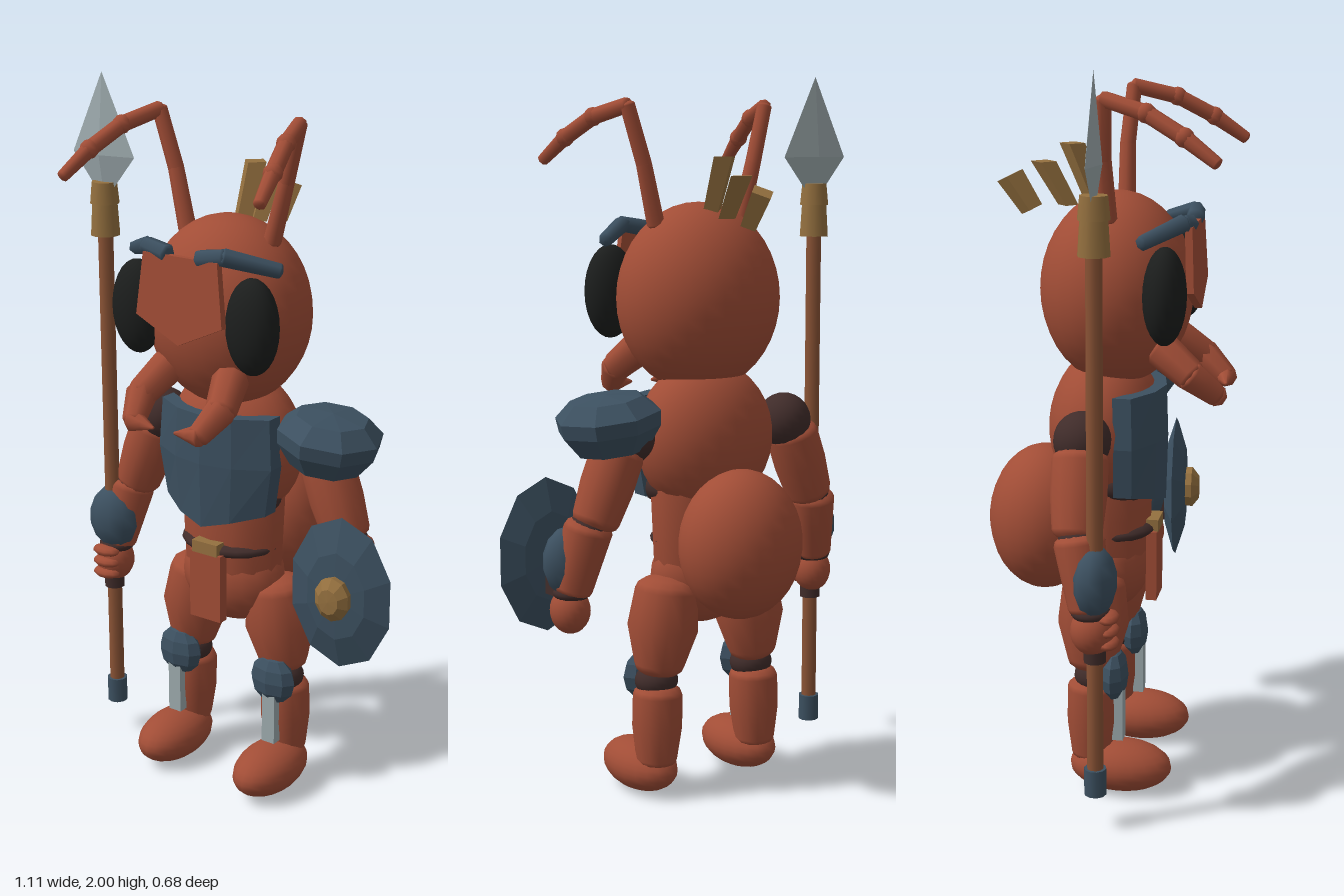
import * as THREE from 'three';

const mat = (name, color) => Object.assign(new THREE.MeshStandardMaterial({ color }), { name });
const V = (x, y, z) => new THREE.Vector3(x, y, z);

export function createModel() {
  const root = new THREE.Group();
  root.name = 'antWarrior';
  const shell = mat('shell', 0xa14d36), joint = mat('joint', 0x402c2a), eyeBlack = mat('eye', 0x1c1e1d);
  const armour = mat('armour', 0x3c5060), gold = mat('gold', 0x94703f), wood = mat('wood', 0x8a5335);
  const steel = mat('steel', 0x9daaad);
  const flat = (g) => {
    const n = g.toNonIndexed();
    n.computeVertexNormals();
    return n;
  };

  const add = (parent, name, geo, material, x = 0, y = 0, z = 0) => {
    const m = new THREE.Mesh(geo, material);
    m.name = name;
    m.position.set(x, y, z);
    parent.add(m);
    return m;
  };
  const ball = (parent, name, material, x, y, z, rx, ry, rz, seg = 20) => {
    const g = new THREE.SphereGeometry(1, seg, Math.ceil(seg * 0.7));
    g.scale(rx, ry, rz);
    return add(parent, name, g, material, x, y, z);
  };
  // Rounded tapering limb from a to b, slightly swollen in the middle
  const limb = (parent, name, material, a, b, r0, r1, seg = 14, bulge = 1.0) => {
    const len = a.distanceTo(b), p = [];
    for (let i = 0; i <= 4; i++) {
      const t = (i / 4) * Math.PI / 2;
      p.push(new THREE.Vector2(r0 * Math.sin(t), -r0 * 0.5 * Math.cos(t)));
    }
    p.push(new THREE.Vector2((r0 + r1) / 2 * bulge, len / 2));
    for (let i = 0; i <= 4; i++) {
      const t = (i / 4) * Math.PI / 2;
      p.push(new THREE.Vector2(r1 * Math.cos(t), len + r1 * 0.5 * Math.sin(t)));
    }
    const m = add(parent, name, new THREE.LatheGeometry(p, seg), material, a.x, a.y, a.z);
    m.quaternion.setFromUnitVectors(V(0, 1, 0), b.clone().sub(a).normalize());
    return m;
  };
  const chain = (parent, name, material, pts, radii, seg) => {
    for (let i = 0; i < pts.length - 1; i++)
      limb(parent, name, material, pts[i], pts[i + 1], radii[i], radii[i + 1], seg);
  };

  const body = new THREE.Group();
  body.name = 'body';
  body.position.x = -0.035;
  root.add(body);

  // Trunk
  ball(body, 'head', shell, 0, 1.395, 0.02, 0.235, 0.262, 0.208, 28);
  limb(body, 'neck', joint, V(0, 1.05, 0), V(0, 1.2, 0), 0.1, 0.1);
  ball(body, 'thorax', shell, 0, 1.01, -0.01, 0.205, 0.215, 0.157, 24);
  ball(body, 'lowerChestBand', joint, 0, 0.87, 0.03, 0.165, 0.07, 0.12);
  limb(body, 'waist', shell, V(0, 0.66, 0), V(0, 0.88, 0), 0.15, 0.16).scale.z = 0.75;
  ball(body, 'belt', joint, 0, 0.725, 0.01, 0.15, 0.035, 0.125);
  ball(body, 'pelvis', shell, 0, 0.62, 0, 0.16, 0.14, 0.115);
  ball(body, 'abdomen', shell, 0, 0.735, -0.185, 0.177, 0.207, 0.157, 24);
  add(body, 'loincloth', new THREE.BoxGeometry(0.105, 0.2, 0.03), shell, 0, 0.62, 0.125);
  add(body, 'buckle', new THREE.BoxGeometry(0.085, 0.035, 0.035), gold, 0, 0.735, 0.125);

  // Chest plate: a box bent round the chest with a pointed lower edge
  const plate = new THREE.BoxGeometry(0.38, 0.28, 0.05, 4, 2, 1);
  const pp = plate.attributes.position;
  for (let i = 0; i < pp.count; i++) {
    const x = pp.getX(i), y = pp.getY(i), low = y < -0.1;
    pp.setX(i, x * (low ? 0.88 : y > 0.1 ? 0.95 : 1));
    pp.setY(i, low ? y - 0.045 * (1 - Math.abs(x) / 0.19) : y);
    pp.setZ(i, pp.getZ(i) - 1.9 * x * x + (Math.abs(y) < 0.1 ? 0 : -0.005));
  }
  add(body, 'chestPlate', flat(plate), armour, 0, 0.99, 0.137);

  // Face plate
  const face = new THREE.Shape([[-0.12, 1.58], [-0.14, 1.41], [0, 1.345], [0.14, 1.41], [0.12, 1.58]]
    .map(([x, y]) => new THREE.Vector2(x, y - 1.46)));
  add(body, 'facePlate', new THREE.ExtrudeGeometry(face, { depth: 0.02, bevelEnabled: false }),
    shell, 0, 1.46, 0.225).rotation.x = -0.05;

  // Crest of three leaning diamond-section spikes
  for (const [y0, y1, z0, z1] of [[1.61, 1.78, -0.035, -0.103], [1.615, 1.73, -0.115, -0.182], [1.6, 1.69, -0.215, -0.275]]) {
    const g = new THREE.CylinderGeometry(0.035, 0.028, y1 - y0, 4, 1);
    const p = g.attributes.position;
    for (let i = 0; i < p.count; i++) {
      const t = p.getY(i) / (y1 - y0);
      p.setY(i, p.getY(i) - p.getZ(i) * (z0 < -0.2 ? -0.5 : 0));
      p.setZ(i, p.getZ(i) + t * (z1 - z0));
    }
    add(body, 'crestSpike', flat(g), gold, 0, (y0 + y1) / 2, (z0 + z1) / 2);
  }

  for (const s of [-1, 1]) {
    const P = (x, y, z) => V(s * x, y, z);
    // Head details
    ball(body, 'eye', eyeBlack, s * 0.188, 1.41, 0.178, 0.077, 0.13, 0.058);
    chain(body, 'brow', armour, [P(0.055, 1.58, 0.222), P(0.125, 1.592, 0.215), P(0.235, 1.555, 0.125)],
      [0.026, 0.024, 0.02], 6);
    chain(body, 'antenna', shell, [P(0.14, 1.6, 0.02), P(0.18, 1.76, 0.015), P(0.225, 1.915, 0.025),
      P(0.262, 1.885, 0.14), P(0.292, 1.83, 0.24), P(0.312, 1.77, 0.325)],
      [0.025, 0.022, 0.021, 0.022, 0.022, 0.017], 8);
    for (const [x, y, z] of [[0.262, 1.885, 0.14], [0.292, 1.83, 0.24]])
      ball(body, 'antennaKnuckle', shell, s * x, y, z, 0.026, 0.026, 0.026, 8);
    chain(body, 'mandible', shell, [P(0.105, 1.25, 0.16), P(0.132, 1.19, 0.24), P(0.108, 1.135, 0.305),
      P(0.035, 1.13, 0.315)], [0.05, 0.043, 0.032, 0.004], 8);

    // Arm
    ball(body, 'shoulder', joint, s * 0.265, 1.035, -0.025, 0.077, 0.078, 0.077);
    limb(body, 'upperArm', shell, P(0.295, 0.99, -0.025), P(0.36, 0.82, -0.02), 0.075, 0.067, 14, 1.06);
    ball(body, 'elbow', joint, s * 0.375, 0.795, -0.01, 0.058, 0.05, 0.058);
    limb(body, 'forearm', shell, P(0.38, 0.79, -0.01), P(0.41, 0.63, 0.02), 0.068, 0.055);
    ball(body, 'bracer', armour, s * 0.412, 0.7, 0.035, 0.08, 0.098, 0.06, 10);
    ball(body, 'wrist', joint, s * 0.412, 0.615, 0.025, 0.052, 0.025, 0.052);
    ball(body, 'hand', shell, s * 0.415, 0.565, 0.03, 0.055, 0.065, 0.058);

    // Leg
    limb(body, 'thigh', shell, P(0.135, 0.59, -0.02), P(0.16, 0.38, -0.02), 0.088, 0.07, 14, 1.26);
    ball(body, 'kneeJoint', joint, s * 0.163, 0.335, -0.01, 0.062, 0.05, 0.06);
    limb(body, 'shin', shell, P(0.165, 0.295, -0.02), P(0.17, 0.11, -0.02), 0.07, 0.058, 14, 1.1);
    add(body, 'kneeGuard', flat(new THREE.SphereGeometry(1, 8, 6).scale(0.074, 0.072, 0.04)),
      armour, s * 0.165, 0.34, 0.042);
    add(body, 'shinGuard', new THREE.BoxGeometry(0.042, 0.15, 0.03), steel, s * 0.168, 0.225, 0.055);
    ball(body, 'foot', shell, s * 0.172, 0.072, 0.062, 0.087, 0.072, 0.143);
  }

  // Pauldron on the left shoulder
  const lathe = (pts, seg) => flat(new THREE.LatheGeometry(pts.map(([x, y]) => new THREE.Vector2(x, y)), seg));
  add(root, 'pauldron', lathe([[0, -0.075], [0.1, -0.075], [0.142, -0.015], [0.147, 0.025], [0.1, 0.068], [0, 0.078]], 8),
    armour, 0.275, 1.075, -0.008).rotation.z = -0.14;

  // Shield: a faceted lens with a boss
  const shield = new THREE.Group();
  shield.name = 'shield';
  shield.position.set(0.4, 0.705, 0.12);
  shield.rotation.y = 0.06;
  root.add(shield);
  const disc = lathe([[0, -0.035], [0.09, -0.028], [0.155, 0], [0.09, 0.028], [0, 0.035]], 10);
  disc.rotateX(Math.PI / 2).scale(1, 1.39, 1);
  add(shield, 'shieldDisc', disc, armour);
  const boss = lathe([[0, -0.03], [0.05, -0.01], [0.052, 0.01], [0.03, 0.03], [0, 0.032]], 10);
  boss.rotateX(Math.PI / 2).scale(1, 1.2, 1);
  add(shield, 'shieldBoss', boss, gold, 0, 0, 0.04);
  add(shield, 'shieldGrip', new THREE.BoxGeometry(0.05, 0.08, 0.06), joint, 0, -0.06, -0.05);

  // Spear held in the right hand
  const spear = new THREE.Group();
  spear.name = 'spear';
  spear.position.set(-0.45, 0, 0.037);
  root.add(spear);
  const rod = (name, m, r0, r1, y0, y1, seg = 10) =>
    add(spear, name, new THREE.CylinderGeometry(r1, r0, y1 - y0, seg), m, 0, (y0 + y1) / 2, 0);
  rod('shaft', wood, 0.022, 0.022, 0.12, 1.6);
  rod('buttCap', armour, 0.03, 0.03, 0.1, 0.175);
  rod('grip', joint, 0.03, 0.03, 0.48, 0.64);
  rod('collar', gold, 0.042, 0.035, 1.55, 1.66);
  rod('collarTop', gold, 0.042, 0.036, 1.64, 1.7);
  const blade = lathe([[0.03, 1.68], [0.108, 1.775], [0, 2]], 4);
  add(spear, 'spearhead', blade.scale(1, 1, 0.2), steel);
  // Fingers wrapped round the shaft
  for (let i = 0; i < 3; i++)
    ball(spear, 'finger', shell, 0, 0.535 + i * 0.035, 0.035, 0.045, 0.017, 0.03, 10);

  return root;
}
